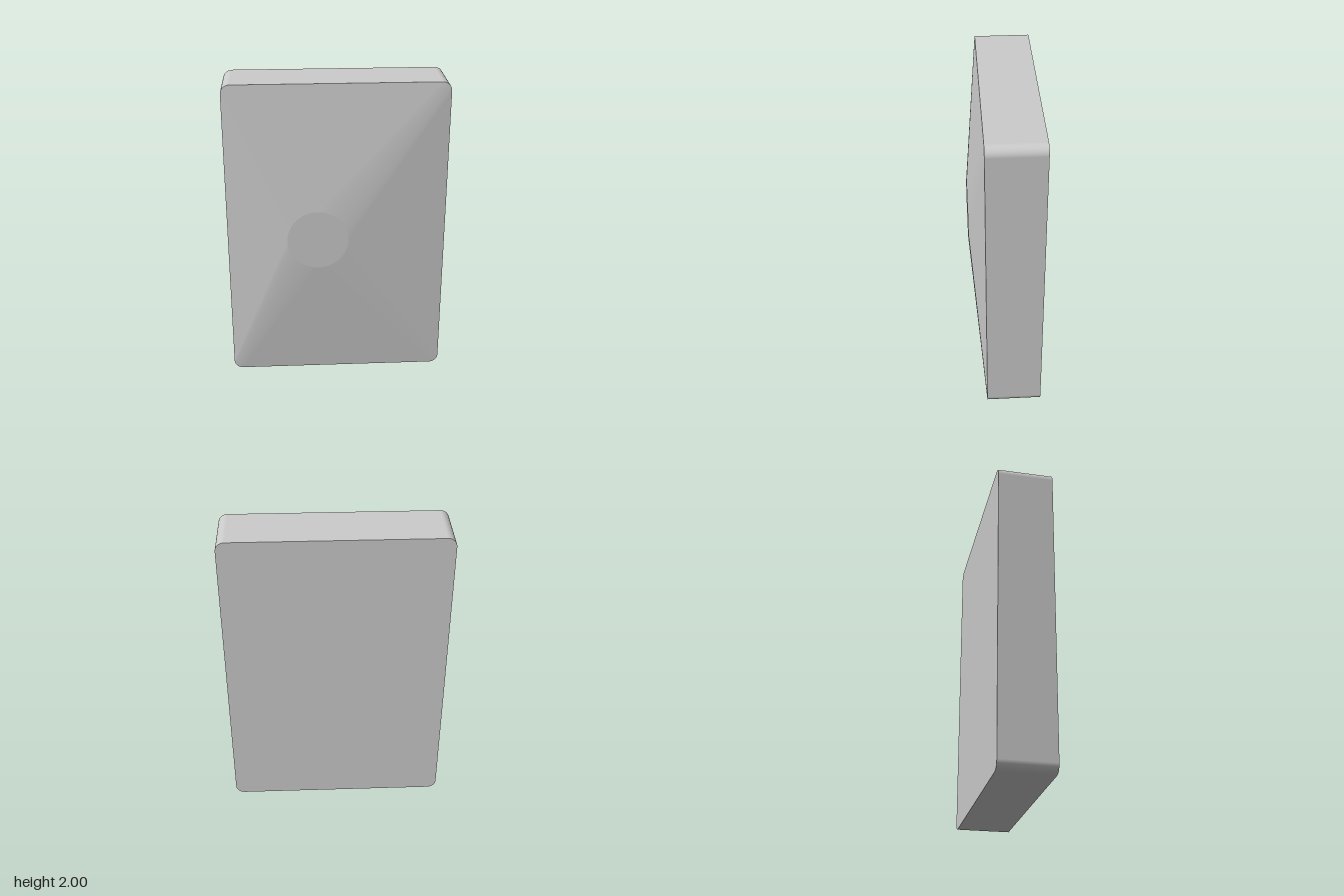
import * as THREE from 'three';

const W = 0.702, H = 1, R = 0.057;            // half width, half height, corner radius
const BACK = -0.219, RIM = 0.132, TOP = 0.219; // depth levels
const FLAT = { x: -0.124, r: 0.195 };          // round flat on the front
const STEPS = 16;                              // segments per corner

// Outward directions, with the rounded outline and the circle sampled at the same angles
function makeRings() {
  const dirs = [], outline = [], circle = [];
  [[1, 1], [-1, 1], [-1, -1], [1, -1]].forEach(([sx, sy], k) => {
    for (let i = 0; i <= STEPS; i++) {
      const a = (k + i / STEPS) * Math.PI / 2;
      const d = new THREE.Vector2(Math.cos(a), Math.sin(a));
      dirs.push(d);
      outline.push(new THREE.Vector2(sx * (W - R) + R * d.x, H + sy * (H - R) + R * d.y));
      circle.push(new THREE.Vector2(FLAT.x + FLAT.r * d.x, H + FLAT.r * d.y));
    }
  });
  return { dirs, outline, circle };
}

// Smooth band between two matching rings at depths za (rear) and zb (front)
function band(dirs, a, za, b, zb) {
  const pos = [], nor = [], idx = [], n = dirs.length;
  dirs.forEach((d, i) => {
    const inset = a[i].clone().sub(b[i]).dot(d);
    const v = new THREE.Vector3(d.x * (zb - za), d.y * (zb - za), inset).normalize();
    pos.push(a[i].x, a[i].y, za, b[i].x, b[i].y, zb);
    nor.push(v.x, v.y, v.z, v.x, v.y, v.z);
    const p = 2 * i, q = 2 * ((i + 1) % n);
    idx.push(p, q, q + 1, p, q + 1, p + 1);
  });
  const g = new THREE.BufferGeometry();
  g.setAttribute('position', new THREE.Float32BufferAttribute(pos, 3));
  g.setAttribute('normal', new THREE.Float32BufferAttribute(nor, 3));
  g.setIndex(idx);
  return g;
}

export function createModel() {
  const group = new THREE.Group();
  group.name = 'panel';
  const material = new THREE.MeshStandardMaterial({ color: 0xcccccc });
  const add = (name, geometry) => {
    const mesh = new THREE.Mesh(geometry, material);
    mesh.name = name;
    group.add(mesh);
    return mesh;
  };
  const { dirs, outline, circle } = makeRings();

  // Straight wall with rounded corners
  add('sideWall', band(dirs, outline, BACK, outline, RIM));

  // Front sloping from the outline up to the off-centre circle
  add('slopedFront', band(dirs, outline, RIM, circle, TOP));

  // Round flat
  const flat = add('roundFlat', new THREE.CircleGeometry(FLAT.r, STEPS * 4));
  flat.position.set(FLAT.x, H, TOP);

  // Flat back, turned to face -z (the outline is symmetric in x)
  const back = add('backPlate', new THREE.ShapeGeometry(new THREE.Shape(outline)));
  back.rotation.y = Math.PI;
  back.position.z = BACK;

  return group;
}
